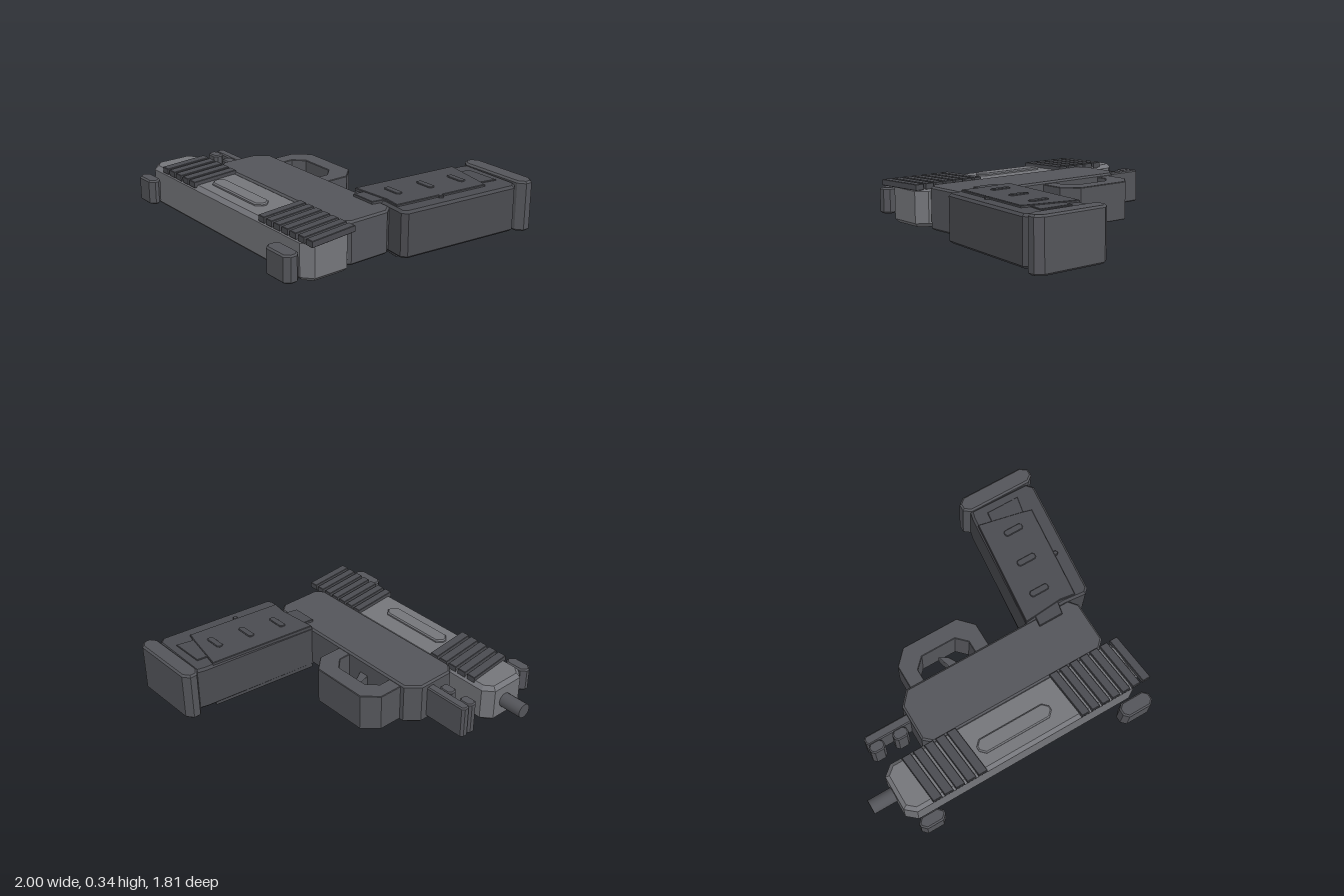
import * as THREE from 'three';

const dark = new THREE.MeshStandardMaterial({ color: 0x54555a, flatShading: true });
const darker = new THREE.MeshStandardMaterial({ color: 0x4a4b50, flatShading: true });
const light = new THREE.MeshStandardMaterial({ color: 0x74757a, flatShading: true });

// Outline in [x, z], extruded upward from y0 to y1 with bevelled rims.
function plate(name, outline, y0, y1, bevel, material) {
  const shape = new THREE.Shape(outline.map(([x, z]) => new THREE.Vector2(x, -z)));
  const geometry = new THREE.ExtrudeGeometry(shape, {
    depth: y1 - y0 - 2 * bevel,
    bevelEnabled: bevel > 0,
    bevelThickness: bevel,
    bevelSize: bevel,
    bevelOffset: -bevel,
    bevelSegments: 1,
  });
  geometry.rotateX(-Math.PI / 2).translate(0, y0 + bevel, 0);
  const mesh = new THREE.Mesh(geometry, material);
  mesh.name = name;
  return mesh;
}

// Rectangle with cut corners: cx along x, cz along z.
function cutRect(x0, x1, z0, z1, cx, cz = cx) {
  return [
    [x0 + cx, z0], [x1 - cx, z0], [x1, z0 + cz], [x1, z1 - cz],
    [x1 - cx, z1], [x0 + cx, z1], [x0, z1 - cz], [x0, z0 + cz],
  ];
}

export function createModel() {
  const model = new THREE.Group();
  model.name = 'pistol';
  const add = (...args) => model.add(plate(...args));

  // Slide with its raised side bar
  add('slide', cutRect(-0.84, 0.84, 0.42, 0.76, 0.065, 0.055), 0.05, 0.305, 0.025, light);
  add('slideBar', cutRect(-0.27, 0.25, 0.565, 0.665, 0.035), 0.29, 0.322, 0.008, light);

  // Slanted serrations on the upper side of the slide
  for (const [name, start, count, pitch, width] of [
    ['frontSerration', -0.7, 5, 0.079, 0.061],
    ['rearSerration', 0.355, 7, 0.0745, 0.055],
  ]) {
    for (let i = 0; i < count; i++) {
      const x = start + i * pitch;
      const s = 0.035;
      add(name, [[x, 0.432], [x + width, 0.432], [x + width + s, 0.762], [x + s, 0.762]], 0.29, 0.33, 0.003, darker);
    }
  }

  // Barrel tip
  const barrel = new THREE.Mesh(new THREE.CylinderGeometry(0.048, 0.048, 0.26, 16), dark.clone());
  barrel.material.flatShading = false;
  barrel.name = 'barrel';
  barrel.rotation.z = Math.PI / 2;
  barrel.position.set(-0.87, 0.175, 0.57);
  model.add(barrel);

  // Sights
  add('frontSight', cutRect(-0.8, -0.63, 0.792, 0.875, 0.03), 0.1, 0.26, 0.01, dark);
  add('rearSight', cutRect(0.63, 0.845, 0.8, 0.903, 0.03), 0.09, 0.26, 0.01, dark);

  // Frame
  add('frame', [
    [-0.46, 0.06], [0.725, 0.06], [0.775, 0.12], [0.775, 0.39], [0.725, 0.44],
    [-0.48, 0.44], [-0.535, 0.39], [-0.535, 0.145],
  ], 0.04, 0.315, 0.012, dark);

  // Accessory rail with two pads
  add('rail', cutRect(-0.84, -0.48, 0.19, 0.25, 0.015), 0.065, 0.285, 0.008, dark);
  for (const x of [-0.84, -0.675]) {
    add('railPad', cutRect(x, x + 0.1, 0.245, 0.315, 0.02), 0.065, 0.285, 0.008, dark);
  }

  // Trigger guard and trigger
  add('triggerGuard', [
    [-0.43, 0.08], [-0.43, -0.1], [-0.34, -0.195], [0.05, -0.195], [0.14, -0.1], [0.14, 0.08],
    [0.04, 0.08], [0.04, -0.02], [-0.025, -0.085], [-0.265, -0.085], [-0.33, -0.02], [-0.33, 0.08],
  ], 0.05, 0.3, 0.004, dark);
  add('trigger', [
    [-0.165, -0.052], [-0.11, -0.022], [-0.055, 0.075], [-0.13, 0.075],
  ], 0.13, 0.22, 0.004, dark);

  // Raked grip and the base below it
  add('grip', [
    [0.412, 0.07], [0.495, -0.74], [0.51, -0.8], [0.93, -0.79], [0.97, -0.745],
    [0.882, 0.05], [0.85, 0.08], [0.7, 0.065],
  ], 0.025, 0.325, 0.015, darker);
  add('gripBase', cutRect(0.47, 0.997, -0.907, -0.79, 0.045, 0.035), 0.01, 0.34, 0.012, dark);

  // Grip side panels and ridges, mirrored on both faces
  const mid = 0.1725;
  const addPair = (name, outline, inner, outer, bevel) => {
    add(name, outline, mid + inner, mid + outer, bevel, darker);
    add(name, outline, mid - outer, mid - inner, bevel, darker);
  };
  addPair('gripStrip', [[0.6, -0.73], [0.83, -0.73], [0.645, 0.125], [0.475, 0.125]], 0.13, 0.16, 0.003);
  addPair('gripPanel', [
    [0.498, -0.68], [0.8, -0.617], [0.862, -0.6], [0.785, 0.055], [0.68, 0.04], [0.415, 0.062],
  ], 0.13, 0.166, 0.004);
  for (const [x, z] of [[0.612, -0.555], [0.574, -0.33], [0.532, -0.105]]) {
    addPair('gripRidge', cutRect(x, x + 0.133, z, z + 0.045, 0.012), 0.15, 0.1725, 0.004);
  }
  addPair('gripPin', cutRect(0.815, 0.845, -0.27, -0.24, 0.009), 0.14, 0.168, 0.003);

  return model;
}
